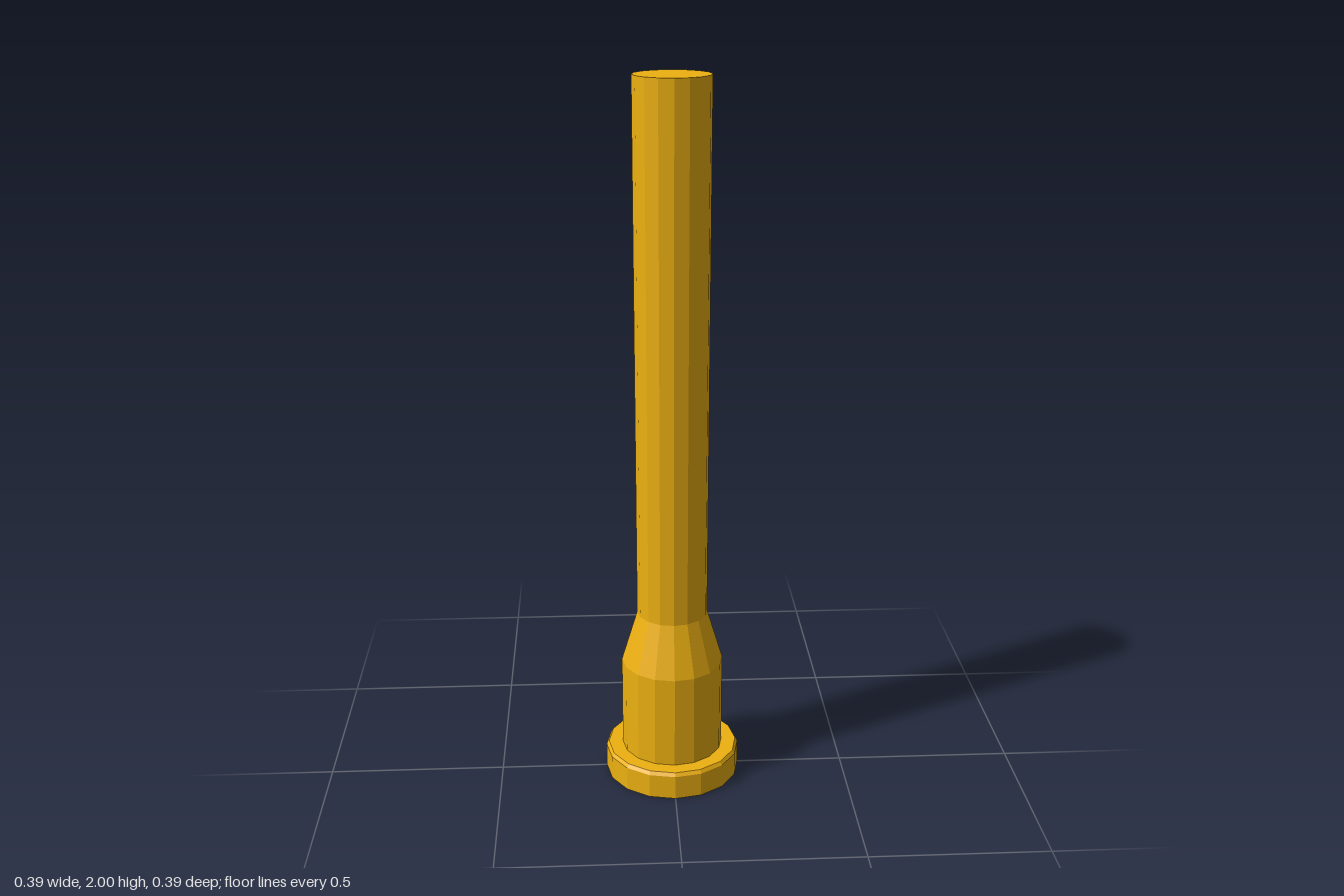
import * as THREE from 'three';

const SIDES = 16;

export function createModel() {
  const group = new THREE.Group();
  const material = new THREE.MeshStandardMaterial({ color: 0xeeb111, flatShading: true });

  // Turned part from [radius, height] pairs, listed from bottom to top
  const turned = (name, profile) => {
    const points = profile.map(([r, y]) => new THREE.Vector2(r, y));
    const mesh = new THREE.Mesh(new THREE.LatheGeometry(points, SIDES), material);
    mesh.name = name;
    group.add(mesh);
  };

  // Foot disc with a small chamfer on its upper rim
  turned('baseFlange', [[0, 0], [0.193, 0], [0.193, 0.07], [0.186, 0.08], [0.14, 0.08]]);
  // Thick lower sleeve narrowing into the shaft
  turned('collar', [[0.145, 0.08], [0.145, 0.35], [0.1, 0.5]]);
  // Long shaft, very slightly wider at the top, with a flat cap
  turned('shaft', [[0.1, 0.5], [0.104, 2], [0, 2]]);

  return group;
}
